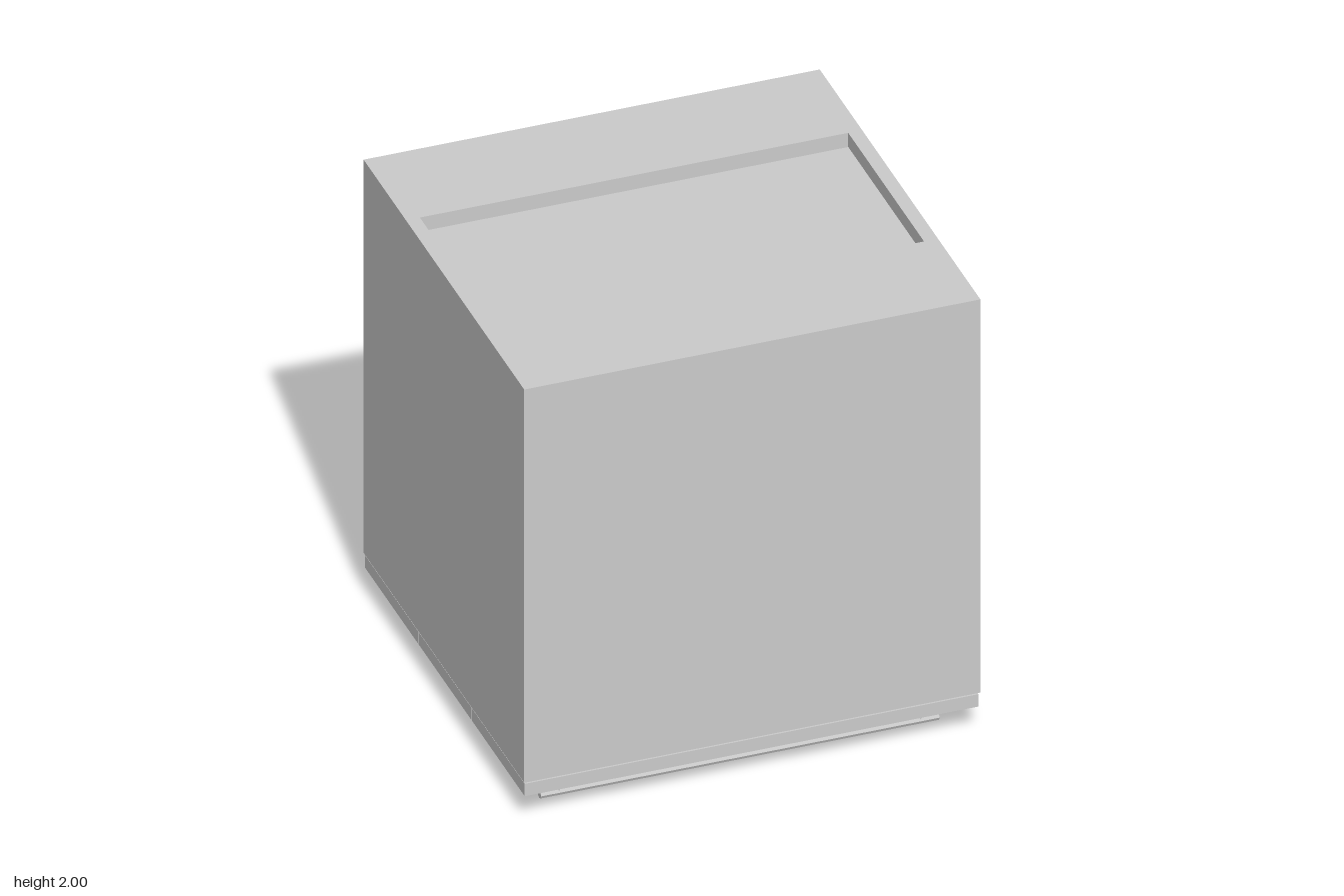
import * as THREE from 'three';

const material = new THREE.MeshStandardMaterial({ color: 0xcccccc, flatShading: true });

function addMesh(parent, name, geometry, x = 0, y = 0, z = 0) {
  const mesh = new THREE.Mesh(geometry, material);
  mesh.name = name;
  mesh.position.set(x, y, z);
  parent.add(mesh);
  return mesh;
}

// Closed solid skinned over rectangular loops [halfWidth, y, halfDepth]
function loftRectangles(loops) {
  const rings = loops.map(([w, y, d]) => [[w, y, d], [w, y, -d], [-w, y, -d], [-w, y, d]]);
  const positions = [];
  const quad = (a, b, c, d) => positions.push(...a, ...b, ...c, ...a, ...c, ...d);
  for (let i = 0; i < rings.length - 1; i++) {
    for (let j = 0; j < 4; j++) {
      const k = (j + 1) % 4;
      quad(rings[i][j], rings[i][k], rings[i + 1][k], rings[i + 1][j]);
    }
  }
  quad(...[...rings[0]].reverse());
  quad(...rings[rings.length - 1]);
  const geometry = new THREE.BufferGeometry();
  geometry.setAttribute('position', new THREE.Float32BufferAttribute(positions, 3));
  geometry.computeVertexNormals();
  return geometry;
}

export function createModel() {
  const model = new THREE.Group();
  model.name = 'drawerCabinet';

  // Cabinet lying on its drawer side, with a shallow recess in the panel on top
  addMesh(model, 'cabinetBody', loftRectangles([
    [0.95, 0.187, 0.9],
    [0.95, 2, 0.9],
    [0.892, 2, 0.425],
    [0.892, 1.935, 0.425],
  ]));

  // Three drawer fronts, each with a bar handle on two posts
  const frontGeometry = new THREE.BoxGeometry(1.89, 0.057, 0.59);
  const barGeometry = new THREE.CylinderGeometry(0.018, 0.018, 1.66, 8).rotateZ(Math.PI / 2);
  const postGeometry = new THREE.CylinderGeometry(0.015, 0.015, 0.1, 8);
  for (let i = 0; i < 3; i++) {
    const drawer = new THREE.Group();
    drawer.name = 'drawer' + (i + 1);
    drawer.position.z = 0.597 - i * 0.599;
    model.add(drawer);
    addMesh(drawer, 'drawerFront', frontGeometry, 0, 0.1475, 0);
    addMesh(drawer, 'handleBar', barGeometry, 0, 0.018, 0.15);
    for (const side of [-1, 1]) {
      addMesh(drawer, 'handlePost', postGeometry, side * 0.753, 0.07, 0.15);
    }
  }
  return model;
}
